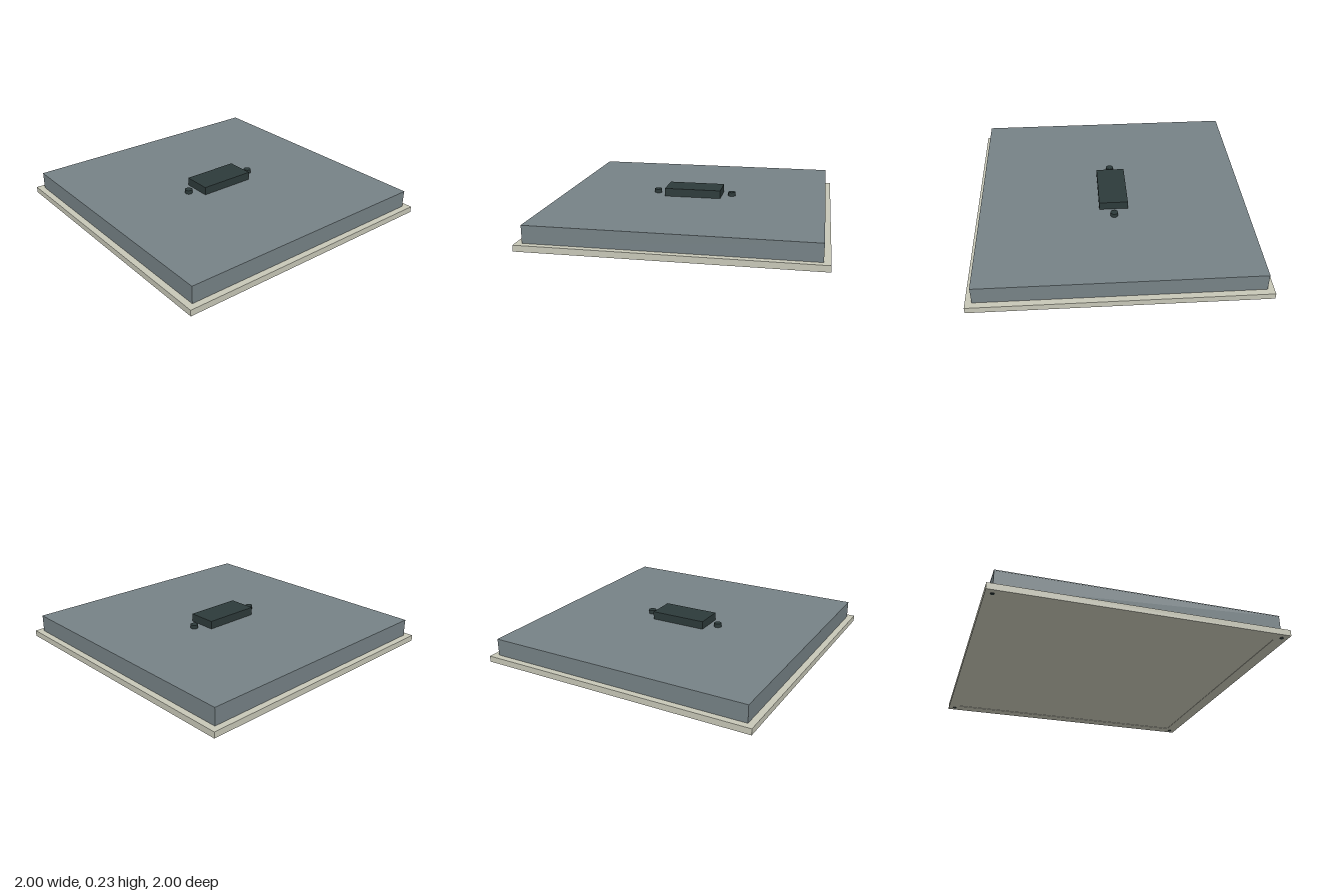
import * as THREE from 'three';

const material = (name, color) => {
  const m = new THREE.MeshStandardMaterial({ color });
  m.name = name;
  return m;
};

export function createModel() {
  const group = new THREE.Group();
  const trim = material('warm white trim', 0xc8c8b8);
  const steel = material('grey steel', 0x768286);
  const dark = material('dark plastic', 0x2d3a3a);

  const add = (name, geometry, mat, x, y, z) => {
    const mesh = new THREE.Mesh(geometry, mat);
    mesh.name = name;
    mesh.position.set(x, y, z);
    group.add(mesh);
    return mesh;
  };
  // Box given by its footprint and its bottom and top heights
  const slab = (name, w, d, y0, y1, mat) =>
    add(name, new THREE.BoxGeometry(w, y1 - y0, d), mat, 0, (y0 + y1) / 2, 0);
  const square = (Path, r) => new Path([[-r, -r], [r, -r], [r, r], [-r, r]].map(([x, y]) => new THREE.Vector2(x, y)));

  // Rim frame around the opening
  const rim = square(THREE.Shape, 1);
  rim.holes.push(square(THREE.Path, 0.915));
  const rimGeometry = new THREE.ExtrudeGeometry(rim, { depth: 0.043, bevelEnabled: false });
  rimGeometry.rotateX(-Math.PI / 2);
  add('rimFrame', rimGeometry, trim, 0, 0.003, 0);

  // Diffuser set just inside the rim
  slab('diffuserPanel', 1.83, 1.83, 0.006, 0.04, trim);

  // Housing with its thin lid
  slab('housing', 1.91, 1.91, 0.046, 0.162, steel);
  slab('housingLid', 1.912, 1.912, 0.162, 0.168, steel);

  // Driver box and the two posts beside it
  slab('driverBox', 0.41, 0.205, 0.168, 0.226, dark);
  for (const side of [-1, 1]) {
    add('post', new THREE.CylinderGeometry(0.027, 0.027, 0.028, 12), dark, side * 0.277, 0.182, 0);
  }

  // Corner screws under the rim
  for (const x of [-0.955, 0.955]) {
    for (const z of [-0.955, 0.955]) {
      add('cornerScrew', new THREE.CylinderGeometry(0.013, 0.013, 0.006, 12), dark, x, 0.003, z);
    }
  }
  return group;
}
